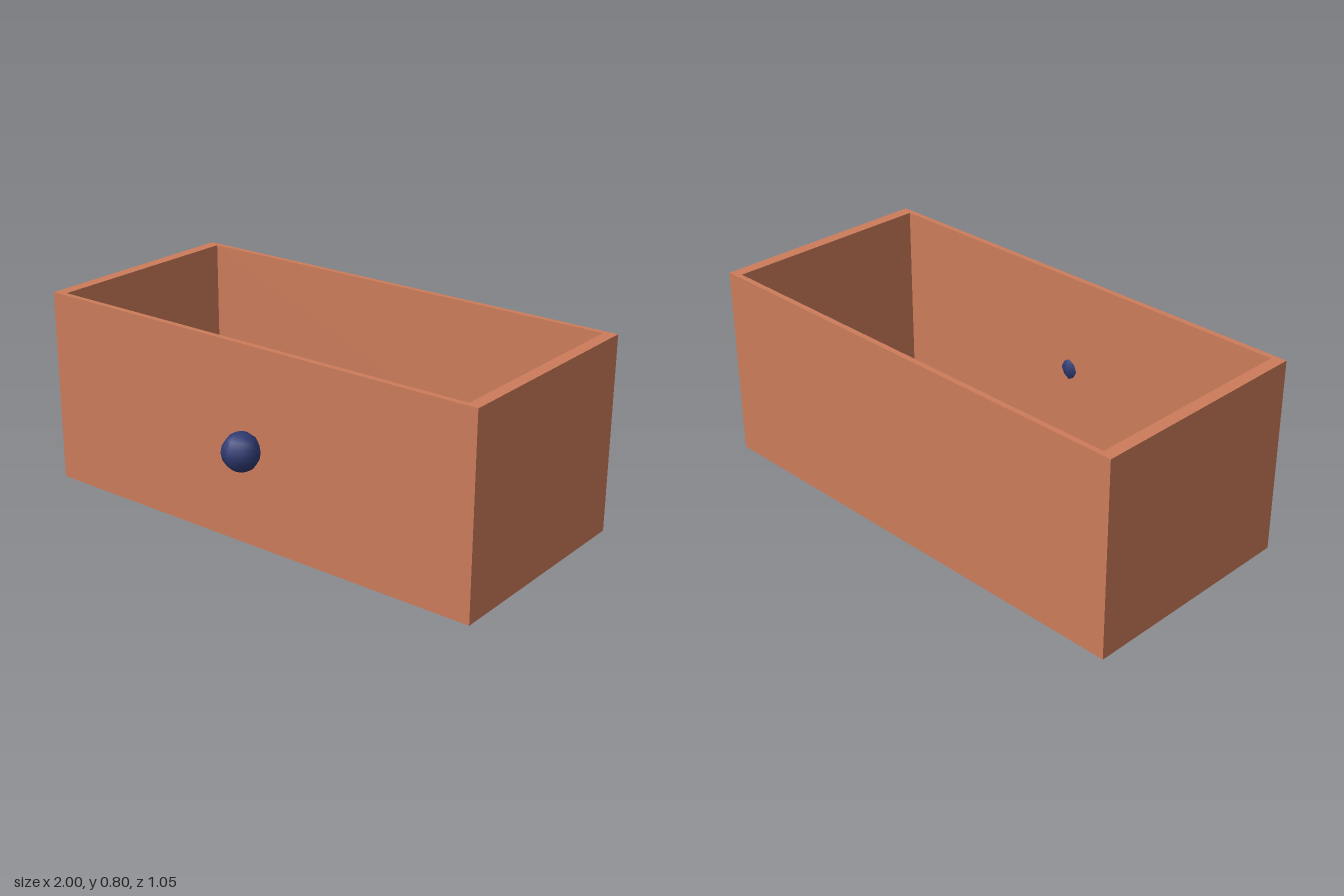
import * as THREE from 'three';

export function createModel() {
  const model = new THREE.Group();
  model.name = 'drawer';

  // Open box: one four-sided profile sweep, walls inset to 95 % of the outline
  const height = 0.8, floor = 0.04, inset = 0.95;
  const halfWidth = 1, halfDepth = 0.469, centerZ = -0.056;
  const profile = [
    [0, 0], [1, 0], [1, height], [inset, height], [inset, floor], [0, floor],
  ].map(([r, y]) => new THREE.Vector2(r * Math.SQRT2, y));
  const boxGeometry = new THREE.LatheGeometry(profile, 4, Math.PI / 4)
    .scale(halfWidth, 1, halfDepth)
    .toNonIndexed();
  boxGeometry.computeVertexNormals();
  const box = new THREE.Mesh(
    boxGeometry,
    new THREE.MeshStandardMaterial({ color: 0xcc7c5a, flatShading: true })
  );
  box.name = 'drawerBox';
  box.position.z = centerZ;
  model.add(box);

  // Round pull knob, set partly through the front wall
  const knob = new THREE.Mesh(
    new THREE.SphereGeometry(0.077, 8, 8),
    new THREE.MeshStandardMaterial({ color: 0x303a72 })
  );
  knob.name = 'knob';
  knob.position.set(0.01, 0.394, 0.45);
  model.add(knob);

  return model;
}
